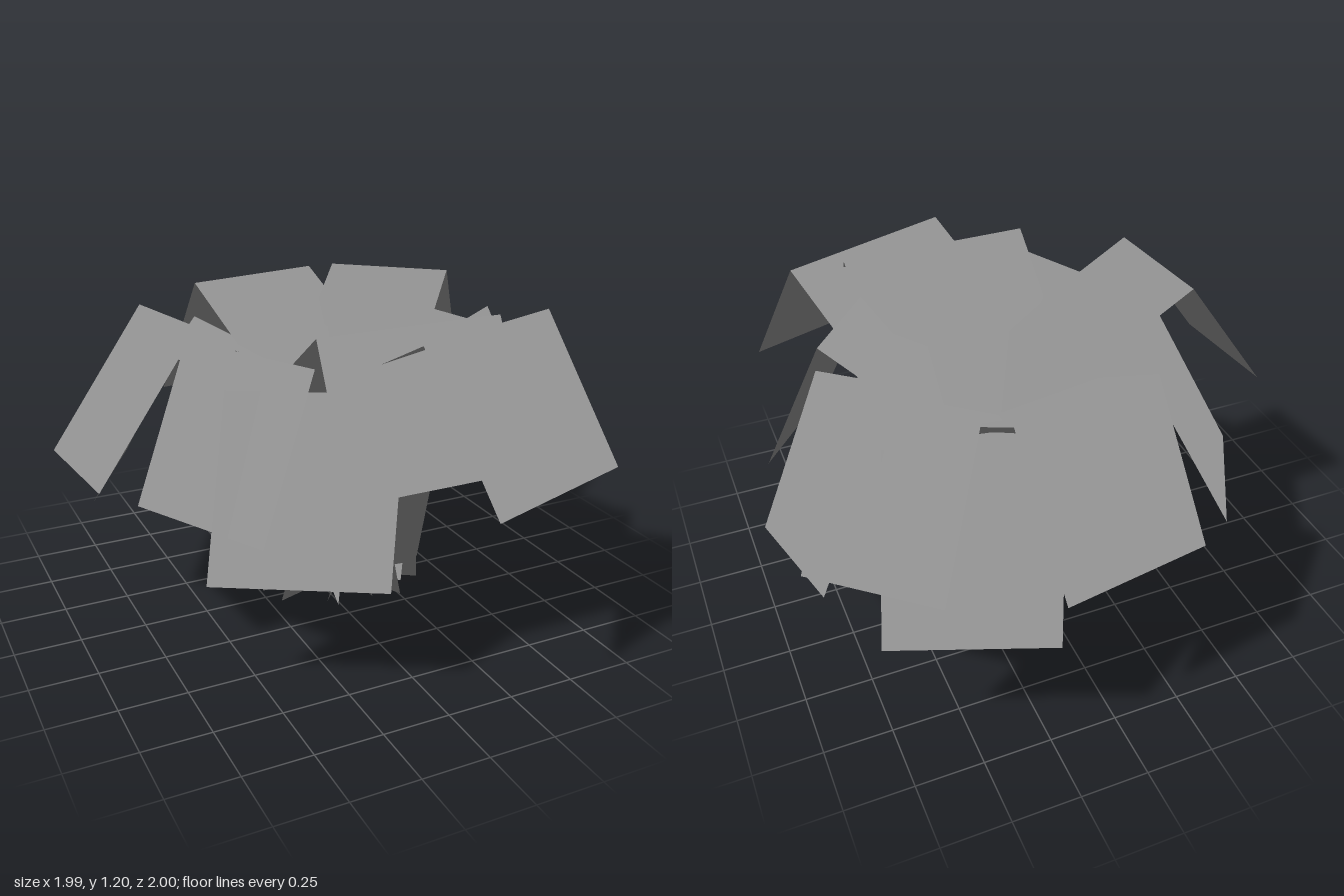
import * as THREE from 'three';

// All fronds grow from one root point
const ROOT = { x: 0.12, z: -0.055 };

// Each frond: [angle of its cross edges in degrees, width, tip x, tip z, tip y, crease y]
const FRONDS = [
  [18.4, 0.68, 0.48, 0.893, 0.68, 1.2],
  [0, 0.72, 0.12, 0.72, 0.7, 1.2],
  [-29.6, 0.62, -0.4, 0.66, 0.4, 1.0],
  [-62, 0.58, -0.64, 0.355, 0.55, 1.1],
  [-84, 0.46, -0.975, 0.04, 0.7, 1.2],
  [-119.5, 0.53, -0.73, -0.44, 0.46, 1.04],
  [-171, 0.56, -0.075, -0.95, 0.63, 1.16],
  [159, 0.59, 0.495, -0.895, 0.46, 1.05],
  [140, 0.5, 0.765, -0.71, 0.65, 1.17],
  [104, 0.45, 0.933, -0.245, 0.44, 1.03],
  [50, 0.5, 0.748, 0.393, 0.55, 1.11],
];

// A flat strip bent in three equal steps: stalk, shoulder to crease, drooping tip
function frondGeometry(degrees, width, tipX, tipZ, tipY, creaseY) {
  const angle = THREE.MathUtils.degToRad(degrees);
  const heights = [0, creaseY * 0.84, creaseY, tipY];
  const geometry = new THREE.PlaneGeometry(width, 1, 1, 3);
  const { position, normal } = geometry.attributes;
  // Foliage normals point up, leaning slightly outward
  const up = new THREE.Vector3(Math.sin(angle) * 0.03, 1, Math.cos(angle) * 0.03).normalize();
  for (let i = 0; i < position.count; i++) {
    const row = Math.floor(i / 2);
    const across = position.getX(i);
    position.setXYZ(
      i,
      THREE.MathUtils.lerp(ROOT.x, tipX, row / 3) + across * Math.cos(angle),
      heights[row],
      THREE.MathUtils.lerp(ROOT.z, tipZ, row / 3) - across * Math.sin(angle),
    );
    normal.setXYZ(i, up.x, up.y, up.z);
  }
  return geometry;
}

export function createModel() {
  const plant = new THREE.Group();
  plant.name = 'plant';
  const leafGrey = new THREE.MeshStandardMaterial({ color: 0x959595, side: THREE.DoubleSide });
  leafGrey.name = 'leafGrey';

  FRONDS.forEach((frond, i) => {
    const mesh = new THREE.Mesh(frondGeometry(...frond), leafGrey);
    mesh.name = `frond${i + 1}`;
    plant.add(mesh);
  });
  return plant;
}
